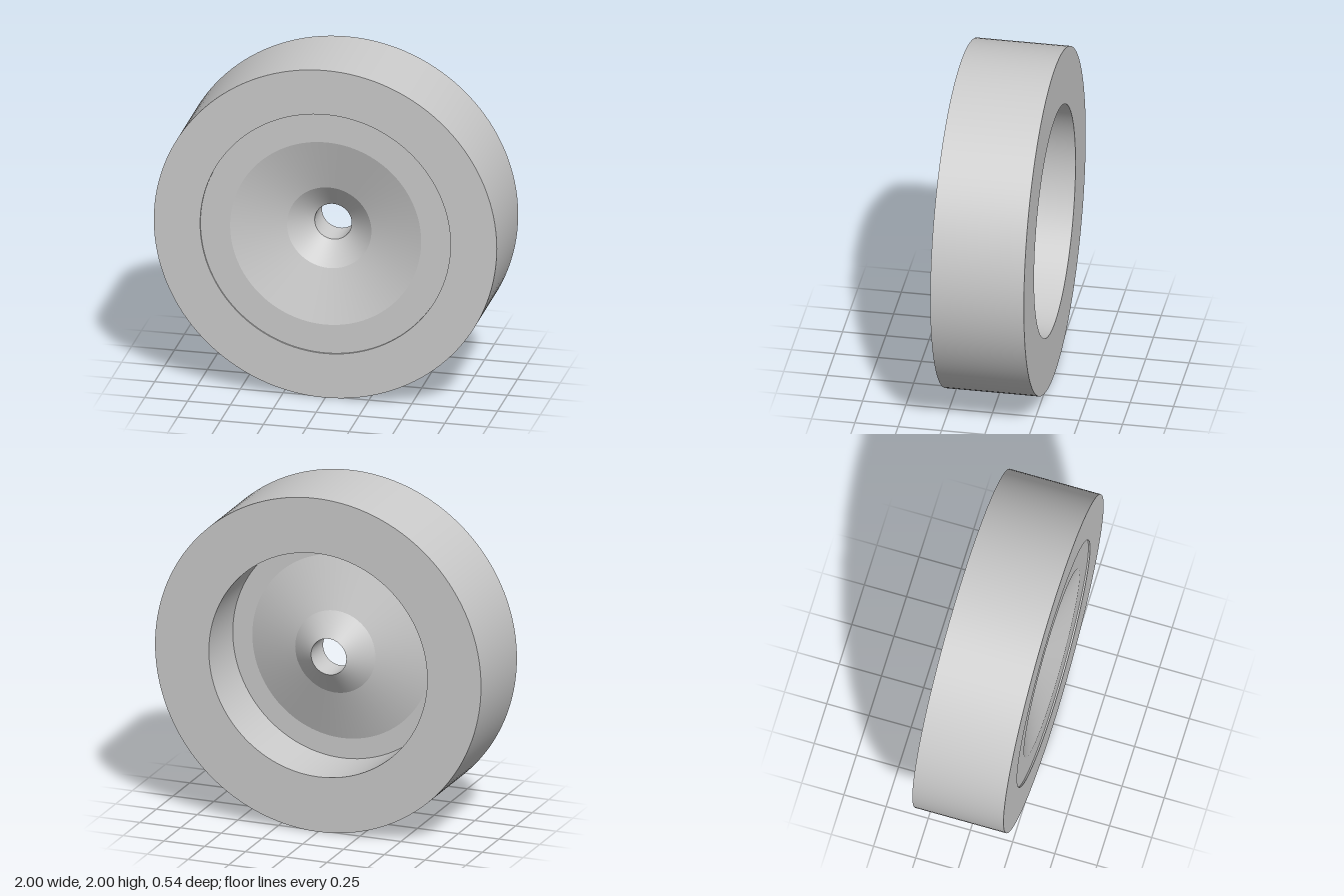
import * as THREE from 'three';
import { mergeGeometries } from 'three/addons/utils/BufferGeometryUtils.js';

const SEGMENTS = 128;
const material = new THREE.MeshStandardMaterial({ color: 0xcccccc });

// Spin a closed [radius, z] profile about the z axis, keeping every profile corner sharp
function turned(name, profile) {
  const bands = profile.map((p, i) => {
    const q = profile[(i + 1) % profile.length];
    return new THREE.LatheGeometry(
      [new THREE.Vector2(...p), new THREE.Vector2(...q)], SEGMENTS);
  });
  const geometry = mergeGeometries(bands);
  geometry.rotateX(Math.PI / 2);
  const mesh = new THREE.Mesh(geometry, material);
  mesh.name = name;
  return mesh;
}

export function createModel() {
  const wheel = new THREE.Group();
  wheel.name = 'wheel';

  // Plain square-section tyre
  wheel.add(turned('tyre', [
    [0.73, -0.27], [1, -0.27], [1, 0.27], [0.73, 0.27],
  ]));

  // Rim barrel with a dished disc and axle hole, set slightly behind the tyre's front face
  wheel.add(turned('rim', [
    [0.73, -0.27], [0.73, 0.26],                 // outer barrel
    [0.557, 0.26], [0.246, 0.17], [0.108, 0.07], // front dish
    [0.108, -0.11], [0.246, -0.01], [0.55, 0.09], // axle bore and back of the dish
    [0.67, 0.09], [0.67, -0.27],                 // inner barrel
  ]));

  wheel.position.y = 1;
  const model = new THREE.Group();
  model.add(wheel);
  return model;
}
